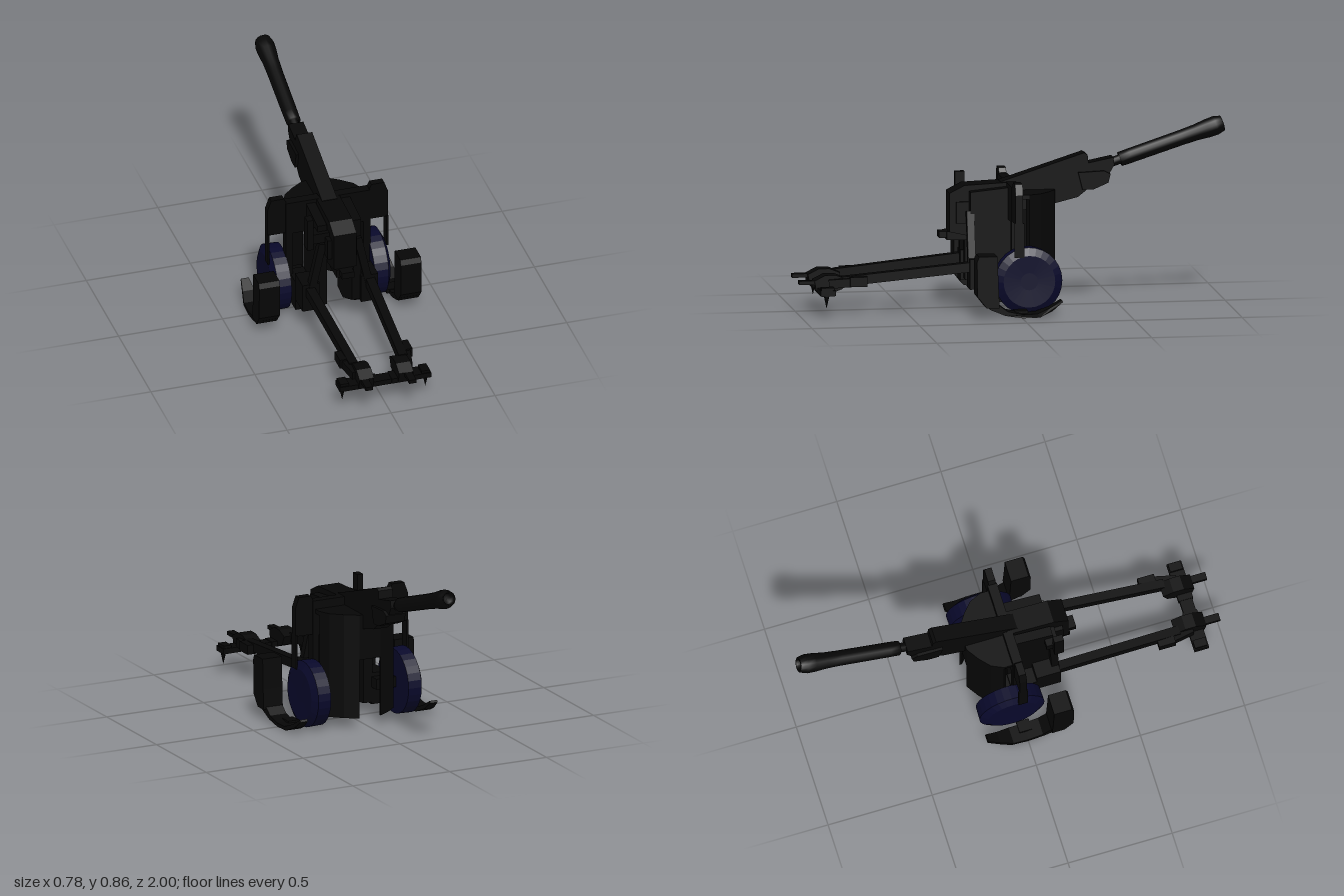
import * as THREE from 'three';

const dark = new THREE.MeshStandardMaterial({ color: 0x060606 });
dark.name = 'black paint';
const navy = new THREE.MeshStandardMaterial({ color: 0x08082a });
navy.name = 'navy rubber';

export function createModel() {
  const root = new THREE.Group();
  root.name = 'fieldGun';

  function add(name, geometry, material = dark) {
    const g = geometry.index ? geometry.toNonIndexed() : geometry;
    g.computeVertexNormals();
    const mesh = new THREE.Mesh(g, material);
    mesh.name = name;
    root.add(mesh);
    return mesh;
  }
  // box given by its limits
  const box = (name, x0, x1, y0, y1, z0, z1) => add(name,
    new THREE.BoxGeometry(Math.abs(x1 - x0), y1 - y0, z1 - z0)
      .translate((x0 + x1) / 2, (y0 + y1) / 2, (z0 + z1) / 2));
  // side outline of [z, y] points, extruded from x0 to x1
  function sidePlate(name, pts, x0, x1) {
    const shape = new THREE.Shape(pts.map(([z, y]) => new THREE.Vector2(-z, y)));
    return add(name, new THREE.ExtrudeGeometry(shape, { depth: Math.abs(x1 - x0), bevelEnabled: false })
      .rotateY(Math.PI / 2).translate(Math.min(x0, x1), 0, 0));
  }
  // plan outline of [x, z] points, extruded from y0 to y1
  function planPlate(name, pts, y0, y1) {
    const shape = new THREE.Shape(pts.map(([x, z]) => new THREE.Vector2(x, z)));
    return add(name, new THREE.ExtrudeGeometry(shape, { depth: y1 - y0, bevelEnabled: false })
      .rotateX(Math.PI / 2).translate(0, y1, 0));
  }
  // rectangular beam between two points
  function beam(name, a, b, w, h) {
    const from = new THREE.Vector3(...a), to = new THREE.Vector3(...b);
    const mesh = add(name, new THREE.BoxGeometry(w, h, from.distanceTo(to)));
    mesh.position.copy(from).lerp(to, 0.5);
    mesh.lookAt(to);
    return mesh;
  }

  // barrel with swollen muzzle
  const barrel = new THREE.Mesh(new THREE.LatheGeometry([
    [0, -0.14], [0.022, -0.14], [0.022, 0], [0.034, 0], [0.035, 0.05], [0.036, 0.3], [0.038, 0.37],
    [0.044, 0.43], [0.045, 0.47], [0.036, 0.503], [0.026, 0.505], [0.024, 0.48], [0, 0.48],
  ].map(p => new THREE.Vector2(...p)), 14), dark);
  barrel.name = 'barrel';
  barrel.position.set(0, 0.67, -0.51);
  barrel.rotation.x = -1.255;
  root.add(barrel);

  // sloping cradle and recoil housing
  sidePlate('cradle', [[0.05, 0.585], [-0.34, 0.71], [-0.355, 0.7], [-0.36, 0.655], [-0.36, 0.545], [-0.31, 0.505],
    [-0.2, 0.478], [0.05, 0.43]], -0.037, 0.037);
  sidePlate('cradleCollar', [[-0.31, 0.62], [-0.43, 0.625], [-0.46, 0.61], [-0.45, 0.57], [-0.38, 0.54],
    [-0.33, 0.54]], -0.05, 0.05);
  sidePlate('cradleNose', [[-0.35, 0.66], [-0.475, 0.685], [-0.48, 0.65], [-0.45, 0.6], [-0.35, 0.6]], -0.036, 0.036);

  // breech
  sidePlate('breech', [[0.29, 0.54], [0.22, 0.575], [0, 0.585], [0, 0.4], [0.2, 0.34], [0.29, 0.36]], -0.055, 0.055);
  box('breechBlock', -0.075, 0.065, 0.4, 0.5, 0.2, 0.26);
  box('breechFoot', -0.045, 0.04, 0.32, 0.36, 0.2, 0.3);
  box('firingHandle', -0.03, 0.03, 0.33, 0.36, 0.28, 0.335);
  box('sight', -0.165, -0.135, 0.45, 0.61, 0.19, 0.235);
  box('sightBracket', -0.14, -0.05, 0.47, 0.52, 0.16, 0.22);

  // angled front shield: upper band, and two lower halves beside a central gap
  const outer = [[0.19, -0.06], [0.165, -0.115], [0.115, -0.16], [0.055, -0.2]];
  const inner = outer.map(([x, z]) => [x === 0.055 ? x : x - 0.012, z + 0.013]);
  const mirror = pts => pts.map(([x, z]) => [-x, z]);
  const front = [...outer, ...mirror(outer).reverse()];
  planPlate('shieldUpper', [...front, ...mirror(inner), ...inner.slice().reverse()], 0.33, 0.54);
  planPlate('shieldRoof', [...front, [-0.19, 0.02], [0.19, 0.02]], 0.525, 0.545);

  for (const s of [1, -1]) {
    const side = s > 0 ? 'left' : 'right';
    planPlate(side + 'ShieldLower', [...outer, ...inner.slice().reverse()].map(([x, z]) => [s * x, z]), 0.05, 0.33);

    // flat shield, wing and its strut
    box(side + 'ShieldPlate', s * 0.04, s * 0.2, 0.42, 0.585, -0.02, 0.025);
    box(side + 'WingRoot', s * 0.17, s * 0.203, 0.05, 0.585, -0.02, 0.025);
    const wing = new THREE.Shape([[0.2, 0.425], [0.29, 0.425], [0.29, 0.56], [0.272, 0.61], [0.21, 0.61], [0.2, 0.59]]
      .map(([x, y]) => new THREE.Vector2(s * x, y)));
    add(side + 'Wing', new THREE.ExtrudeGeometry(wing, { depth: 0.035, bevelEnabled: false }).translate(0, 0, -0.015));
    box(side + 'WingStrut', s * 0.281, s * 0.29, 0.27, 0.43, -0.02, 0.025);

    // carriage cheeks and lower bracket
    sidePlate(side + 'Cheek', [[0.2, 0.55], [0, 0.57], [-0.02, 0.3], [-0.02, 0.06], [0.06, 0.05], [0.2, 0.12]],
      s * 0.06, s * 0.105);
    box(side + 'LowerBracket', s * 0.1, s * 0.18, 0.05, 0.2, -0.02, 0.1);
    box(side + 'TrailHinge', s * 0.1, s * 0.182, 0.11, 0.25, 0.1, 0.215);
    beam(side + 'Brace', [s * 0.085, 0.46, 0.2], [s * 0.14, 0.2, 0.2], 0.035, 0.035);
    beam(side + 'Axle', [s * 0.1, 0.157, -0.045], [s * 0.24, 0.157, -0.045], 0.05, 0.05);

    // wheel with chamfered outer edge
    const wheel = new THREE.LatheGeometry([
      [0, 0], [0.154, 0], [0.156, 0.066], [0.12, 0.085], [0.04, 0.082], [0, 0.082],
    ].map(p => new THREE.Vector2(...p)), 28);
    wheel.rotateZ(-Math.PI / 2);
    if (s < 0) wheel.rotateY(Math.PI);
    add(side + 'Wheel', wheel.translate(s * 0.2, 0.157, -0.045), navy);

    // outrigger: upright locker and curved runner narrowing to its tip
    sidePlate(side + 'Locker', [[0.12, 0.295], [0.205, 0.295], [0.215, 0.27], [0.213, 0.11], [0.17, 0.055], [0.11, 0.055],
      [0.115, 0.15]], s * 0.291, s * 0.39);
    const runner = sidePlate(side + 'Runner', [[0.19, 0.08], [0.15, 0.045], [0.08, 0.016], [0, 0.003], [-0.08, 0.004],
      [-0.14, 0.03], [-0.19, 0.07], [-0.185, 0.08], [-0.13, 0.046], [-0.07, 0.022], [0, 0.02], [0.07, 0.036],
      [0.13, 0.08]], s * 0.293, s * 0.377).geometry;
    const p = runner.attributes.position;
    for (let i = 0; i < p.count; i++) {
      const narrow = 1 - 0.55 * THREE.MathUtils.smoothstep(-p.getZ(i), 0.05, 0.19);
      p.setX(i, s * 0.335 + (p.getX(i) - s * 0.335) * narrow);
    }
    runner.computeVertexNormals();
    box(side + 'RunnerLink', s * 0.28, s * 0.335, 0.01, 0.03, -0.03, 0.03);

    // trail leg and its end fittings
    beam(side + 'Trail', [s * 0.147, 0.217, 0.15], [s * 0.119, 0.155, 0.8], 0.042, 0.044);
    box(side + 'TrailLock', s * 0.115, s * 0.175, 0.135, 0.18, 0.69, 0.77);
    beam(side + 'TrailElbow', [s * 0.145, 0.155, 0.74], [s * 0.12, 0.145, 0.86], 0.05, 0.04);
    sidePlate(side + 'TrailFoot', [[0.78, 0.165], [0.83, 0.185], [0.88, 0.185], [0.93, 0.16], [0.92, 0.11], [0.87, 0.095],
      [0.8, 0.12]], s * 0.06, s * 0.13);
    box(side + 'TowTip', s * 0.087, s * 0.122, 0.142, 0.16, 0.9, 1);
    beam(side + 'CrossArm', [s * 0.03, 0.115, 0.88], [s * 0.22, 0.115, 0.88], 0.07, 0.025);
    box(side + 'SpikeSocket', s * 0.175, s * 0.215, 0.1, 0.14, 0.85, 0.91);
    add(side + 'Spike', new THREE.ConeGeometry(0.018, 0.08, 6).rotateX(Math.PI).translate(s * 0.2, 0.083, 0.885));
  }
  box('crossBarCentre', -0.045, 0.045, 0.1, 0.125, 0.85, 0.91);
  return root;
}
